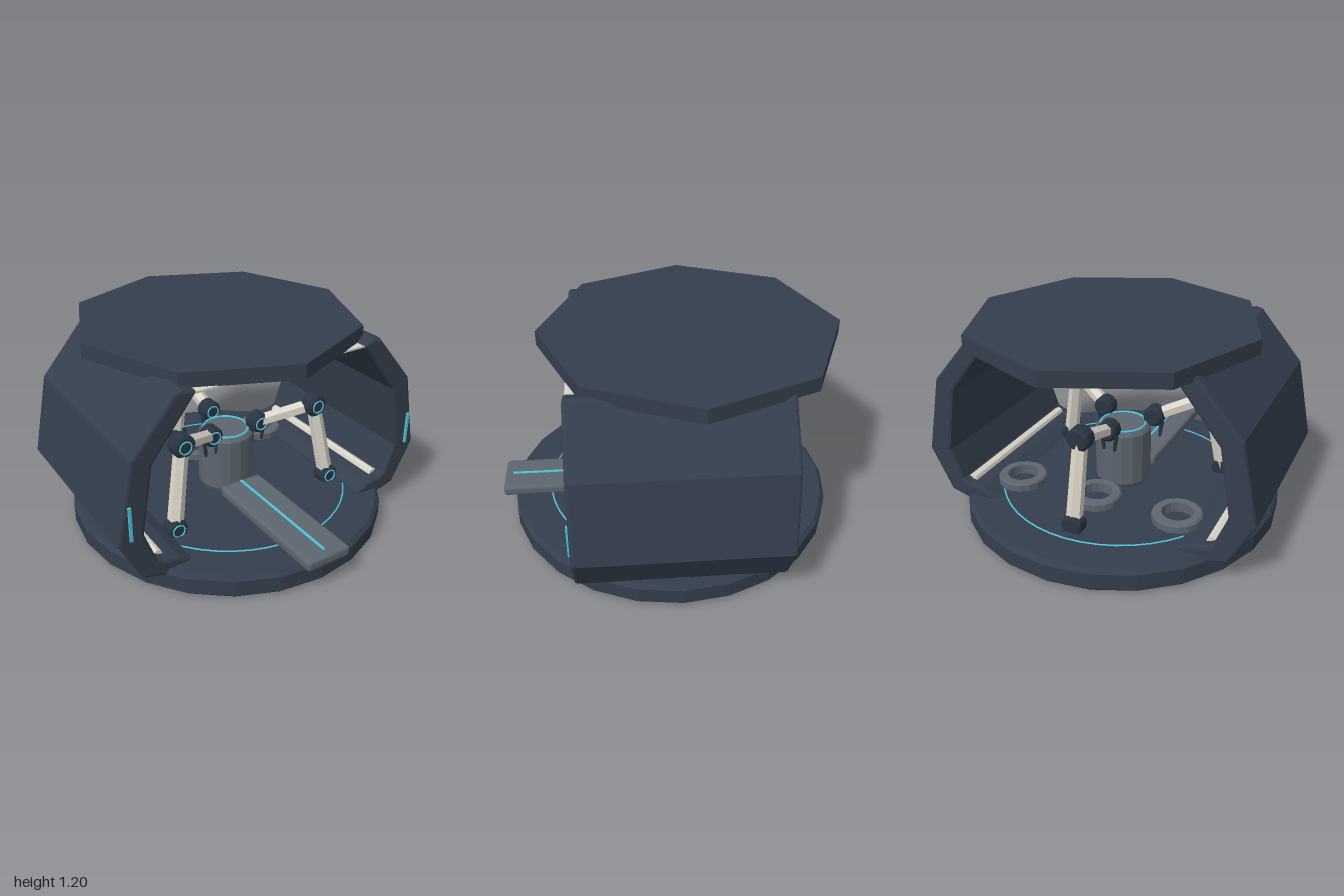
import * as THREE from 'three';
import { RoundedBoxGeometry } from 'three/addons/geometries/RoundedBoxGeometry.js';

const paint = (color, flatShading = true) => new THREE.MeshStandardMaterial({ color, flatShading });
const slate = paint(0x343e4d);
const steel = paint(0x5d656f);
const bone = paint(0xd8d4c8);
const jointDark = paint(0x2a3442);
const cyan = paint(0x4fc3d9);

const CZ = -0.03; // z of the common centre axis
const ZS = 1.022; // the plan is slightly longer in z

function add(parent, name, geometry, material, x = 0, y = 0, z = 0) {
  const mesh = new THREE.Mesh(geometry, material);
  mesh.name = name;
  mesh.position.set(x, y, z);
  parent.add(mesh);
  return mesh;
}

const lathe = (points, sides) =>
  new THREE.LatheGeometry(points.map(([r, y]) => new THREE.Vector2(r, y)), sides);

// Flat-sided rod between two points
function rod(parent, name, a, b, r0, r1, sides, material) {
  const dir = b.clone().sub(a);
  const mesh = add(parent, name, new THREE.CylinderGeometry(r1, r0, dir.length(), sides), material);
  mesh.position.copy(a).add(b).multiplyScalar(0.5);
  mesh.quaternion.setFromUnitVectors(new THREE.Vector3(0, 1, 0), dir.normalize());
  return mesh;
}

// Thin glowing ring lying flat
function flatRing(parent, name, radius, thickness, y) {
  const ring = add(parent, name, new THREE.TorusGeometry(radius, thickness, 6, 48), cyan, 0, y, CZ);
  ring.rotation.x = Math.PI / 2;
  ring.scale.y = ZS;
}

// Curved side wall, extruded along z with bevelled edges
function sideShell(parent, side) {
  const outline = [
    [0.61, 1.15], [0.65, 1.14], [0.904, 0.845], [1.0, 0.385], [0.868, 0.13], [0.75, 0.098], [0.59, 0.13],
    [0.58, 0.143], [0.66, 0.185], [0.75, 0.2], [0.785, 0.22], [0.85, 0.4], [0.786, 0.79], [0.53, 1.12],
  ];
  const shape = new THREE.Shape(outline.map(([x, y]) => new THREE.Vector2(side * x, y)));
  const bevel = 0.018;
  const geometry = new THREE.ExtrudeGeometry(shape, {
    depth: 1.165 - 2 * bevel, bevelEnabled: true, bevelThickness: bevel,
    bevelSize: bevel, bevelOffset: -bevel, bevelSegments: 2,
  });
  add(parent, 'sideShell', geometry, slate, 0, 0, -0.61 + bevel);
  add(parent, 'shellLight', new THREE.BoxGeometry(0.016, 0.2, 0.014), cyan, side * 0.928, 0.5, 0.56);
  // Light tube along the foot of the wall
  rod(parent, 'wallTube', new THREE.Vector3(side * 0.755, 0.195, -0.55),
    new THREE.Vector3(side * 0.755, 0.195, 0.49), 0.03, 0.03, 8, bone);
}

// Round joint facing the front with a lit ring
function joint(parent, name, p, radius) {
  const profile = [
    [0, -0.048], [radius - 0.015, -0.048], [radius, -0.033],
    [radius, 0.033], [radius - 0.015, 0.048], [0, 0.048],
  ];
  const group = new THREE.Group();
  group.name = name;
  group.position.copy(p);
  add(group, 'jointHub', lathe(profile, 12), jointDark).rotation.x = Math.PI / 2;
  add(group, 'jointRing', new THREE.TorusGeometry(0.037, 0.005, 6, 24), cyan, 0, 0, 0.05);
  parent.add(group);
}

// Jointed arm reaching from the floor to the pedestal
function arm(angle) {
  const group = new THREE.Group();
  group.name = 'arm';
  const at = (r, y) => new THREE.Vector3(r * Math.sin(angle), y, CZ + r * Math.cos(angle) * ZS);
  const base = at(0.624, 0.168);
  const elbow = at(0.525, 0.652);
  const wrist = at(0.19, 0.543);
  add(group, 'armFoot', new THREE.BoxGeometry(0.1, 0.05, 0.09), jointDark, base.x, 0.155, base.z);
  joint(group, 'baseJoint', base, 0.063);
  joint(group, 'elbowJoint', elbow, 0.07);
  joint(group, 'wristJoint', wrist, 0.063);
  rod(group, 'lowerBeam', base, elbow, 0.048, 0.043, 6, bone);
  rod(group, 'upperBeam', elbow, wrist, 0.043, 0.04, 6, bone);
  // Two short gripper fingers
  for (const s of [-1, 1]) {
    const top = wrist.clone().add(new THREE.Vector3(s * 0.045, -0.035, 0));
    const tip = wrist.clone().add(new THREE.Vector3(s * 0.034, -0.135, 0));
    rod(group, 'finger', top, tip, 0.015, 0.009, 6, jointDark);
  }
  return group;
}

export function createModel() {
  const model = new THREE.Group();
  model.name = 'roboticBay';

  // Floor disc with bevelled rim
  const floor = [[0, 0], [0.93, 0], [0.947, 0.018], [0.947, 0.11], [0.925, 0.135], [0, 0.135]];
  add(model, 'floorDisc', lathe(floor, 24), slate, 0, 0, CZ).scale.z = ZS;
  flatRing(model, 'floorRing', 0.728, 0.005, 0.136);

  // Eight-sided roof with pale ceiling panel
  add(model, 'roof', new THREE.CylinderGeometry(0.834, 0.834, 0.085, 8), slate, 0, 1.1575, -0.135).scale.z = ZS;
  add(model, 'ceilingPanel', new THREE.BoxGeometry(1.14, 0.012, 1.15), bone, 0, 1.112, CZ);

  for (const side of [-1, 1]) sideShell(model, side);

  // Central pedestal
  const pedestal = [[0, 0.13], [0.15, 0.13], [0.168, 0.165], [0.168, 0.48], [0.15, 0.503], [0, 0.503]];
  add(model, 'pedestal', lathe(pedestal, 16), steel, 0, 0, CZ);
  flatRing(model, 'pedestalRing', 0.135, 0.007, 0.506);

  // Entry ramp with a light strip
  add(model, 'ramp', new RoundedBoxGeometry(0.28, 0.066, 0.865, 2, 0.02), steel, 0, 0.179, 0.5625);
  add(model, 'rampLight', new THREE.BoxGeometry(0.016, 0.01, 0.8), cyan, 0, 0.212, 0.545);

  // Row of open rings at the back
  const ring = [[0.09, 0.16], [0.135, 0.16], [0.145, 0.17], [0.145, 0.21], [0.135, 0.22], [0.09, 0.22], [0.09, 0.16]];
  for (const x of [-0.5, 0, 0.5]) add(model, 'floorSocket', lathe(ring, 16), steel, x, 0, -0.39);

  // Three arms around the pedestal
  for (let i = 0; i < 3; i++) model.add(arm(Math.PI / 3 + (i * Math.PI * 2) / 3));

  return model;
}
